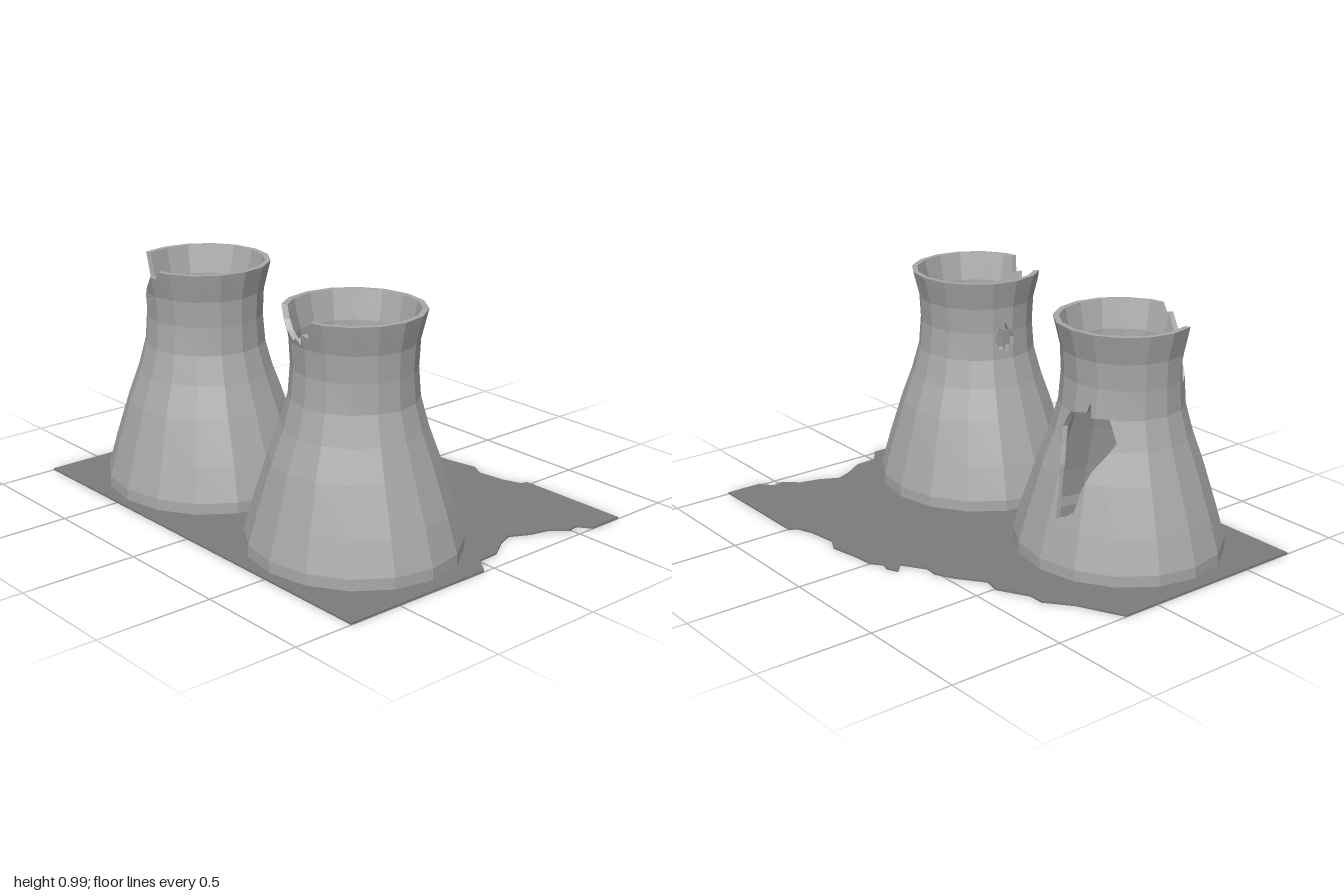
import * as THREE from 'three';

const concrete = new THREE.MeshStandardMaterial({ color: 0xa8a8a8, flatShading: true });
concrete.name = 'light concrete';
const asphalt = new THREE.MeshStandardMaterial({ color: 0x7c7c7c, flatShading: true });
asphalt.name = 'grey ground';

const SIDES = 16, STEP = 360 / SIDES, START = -112.5, WALL = 0.024;

// Tower profile: height, half width in x, half width in z
const PROFILE = [
  [0.005, 0.43, 0.456], [0.055, 0.428, 0.455], [0.2, 0.388, 0.412], [0.39, 0.335, 0.345],
  [0.52, 0.287, 0.298], [0.64, 0.255, 0.263], [0.76, 0.243, 0.257], [0.87, 0.251, 0.26], [0.99, 0.283, 0.287],
];
const TOP = 0.99, BOTTOM = 0.005;

// Piecewise linear lookup of column k in rows sorted by their first value
function lookup(rows, v, k = 1) {
  if (v <= rows[0][0]) return rows[0][k];
  for (let i = 1; i < rows.length; i++) {
    const a = rows[i - 1], b = rows[i];
    if (v <= b[0]) return a[k] + (b[k] - a[k]) * (v - a[0]) / (b[0] - a[0]);
  }
  return rows[rows.length - 1][k];
}

// Point on the faceted wall at an angle in degrees and a height
function wallPoint(angle, y, inset) {
  const f = Math.floor(angle / STEP + 1e-6), t = angle / STEP - f;
  const a = THREE.MathUtils.degToRad(f * STEP), b = THREE.MathUtils.degToRad((f + 1) * STEP);
  const c = Math.cos(a) * (1 - t) + Math.cos(b) * t;
  const s = Math.sin(a) * (1 - t) + Math.sin(b) * t;
  return [c * (lookup(PROFILE, y, 1) - inset), y, s * (lookup(PROFILE, y, 2) - inset)];
}

// Double wall with a broken rim (notch) and a ragged hole between lo and hi;
// every list holds [angle, height] pairs
function towerGeometry({ notch, lo, hi }) {
  const pos = [];
  const quad = (a, b, c, d) => pos.push(...a, ...b, ...c, ...a, ...c, ...d);
  const angles = [];
  for (let i = 0; i <= SIDES; i++) angles.push(START + i * STEP);
  for (const list of [notch, lo, hi]) for (const [a] of list) angles.push(a);
  angles.sort((a, b) => a - b);
  const holeStart = lo[0][0], holeEnd = lo[lo.length - 1][0];

  for (let i = 0; i + 1 < angles.length; i++) {
    const a = angles[i], b = angles[i + 1];
    if (b - a < 1e-5) continue;
    const ends = [a, b];
    const mid = (a + b) / 2;
    const rim = ends.map((v) => lookup(notch, v));
    const floor = [BOTTOM, BOTTOM];
    const pierced = mid > holeStart && mid < holeEnd;
    const low = ends.map((v) => lookup(lo, v)), high = ends.map((v) => lookup(hi, v));
    const bands = pierced ? [[floor, low], [high, rim]] : [[floor, rim]];

    // Outer and inner skins, row by row
    for (const [l, u] of bands) {
      for (let r = 0; r + 1 < PROFILE.length; r++) {
        const [y0, y1] = [PROFILE[r][0], PROFILE[r + 1][0]];
        const B = [0, 1].map((k) => THREE.MathUtils.clamp(y0, l[k], u[k]));
        const T = [0, 1].map((k) => THREE.MathUtils.clamp(y1, l[k], u[k]));
        if (T[0] - B[0] < 1e-6 && T[1] - B[1] < 1e-6) continue;
        const corners = (w) => [wallPoint(a, B[0], w), wallPoint(a, T[0], w), wallPoint(b, T[1], w), wallPoint(b, B[1], w)];
        quad(...corners(0));
        quad(...corners(WALL).reverse());
      }
    }
    // Wall thickness along the rim and the hole
    const edge = (y) => [wallPoint(a, y[0], 0), wallPoint(a, y[0], WALL), wallPoint(b, y[1], WALL), wallPoint(b, y[1], 0)];
    quad(...edge(rim));
    if (pierced) {
      quad(...edge(low));
      quad(...edge(high).reverse());
    }
  }
  const g = new THREE.BufferGeometry();
  g.setAttribute('position', new THREE.Float32BufferAttribute(pos, 3));
  g.computeVertexNormals();
  return g;
}

// Thin ground slab with crumbled edges, outlined as x, z
function groundGeometry() {
  const outline = [
    [-0.74, -1], [0.165, -1], [0.257, -0.81], [0.34, -0.706], [0.34, -0.64], [0.41, -0.51], [0.394, -0.437],
    [0.48, -0.32], [0.516, -0.246], [0.51, -0.19], [0.574, -0.09], [0.616, -0.135], [0.638, -0.087],
    [0.627, -0.05], [0.664, 0], [0.67, 0.08], [0.696, 0.214], [0.664, 0.278], [0.68, 0.4], [0.71, 0.48],
    [0.74, 0.49], [0.74, 1], [0.58, 1], [0.54, 0.944], [0.49, 0.955], [0.426, 0.897], [0.34, 0.876],
    [0.257, 0.833], [0.188, 0.86], [0.098, 0.918], [0, 0.923], [-0.055, 1], [-0.74, 1],
  ];
  const shape = new THREE.Shape(outline.map(([x, z]) => new THREE.Vector2(x, -z)));
  return new THREE.ExtrudeGeometry(shape, { depth: 0.008, bevelEnabled: false }).rotateX(-Math.PI / 2);
}

const TOWERS = [
  { // shallow rim damage and a small hole facing the other tower
    name: 'frontTower', z: 0.48,
    notch: [[169, TOP], [173, 0.92], [179, 0.93], [185, 0.88], [192, 0.9], [197, 0.885], [203, 0.92],
      [209, 0.9], [215, 0.895], [220, 0.94], [224, 0.93], [228, TOP]],
    lo: [[-92, 0.73], [-90, 0.69], [-86, 0.7], [-83, 0.665], [-79, 0.69], [-75, 0.68], [-70, 0.74]],
    hi: [[-92, 0.73], [-89, 0.77], [-86, 0.765], [-82, 0.8], [-78, 0.77], [-74, 0.785], [-70, 0.74]],
  },
  { // deep rim damage and a tall hole on the open side
    name: 'backTower', z: -0.48,
    notch: [[169, TOP], [174, 0.955], [180, 0.96], [188, 0.925], [195, 0.9], [202, 0.86], [207, 0.845],
      [211, 0.79], [219, 0.78], [227, 0.75], [235, 0.735], [240, 0.78], [243, 0.82], [245, 0.85], [247, TOP]],
    lo: [[-43, 0.552], [-26, 0.44], [-20, 0.36], [-17, 0.273], [-10, 0.236], [-5, 0.225], [-3.5, 0.295],
      [1, 0.43], [7.5, 0.5], [12.3, 0.568]],
    hi: [[-43, 0.552], [-35.5, 0.643], [-18, 0.638], [-17, 0.7], [-13, 0.654], [6.4, 0.638], [12.3, 0.568]],
  },
];

export function createModel() {
  const model = new THREE.Group();
  model.name = 'ruinedCoolingTowers';

  const ground = new THREE.Mesh(groundGeometry(), asphalt);
  ground.name = 'ground';
  model.add(ground);

  for (const spec of TOWERS) {
    const tower = new THREE.Mesh(towerGeometry(spec), concrete);
    tower.name = spec.name;
    tower.position.set(-0.268, 0, spec.z);
    model.add(tower);
  }
  return model;
}
